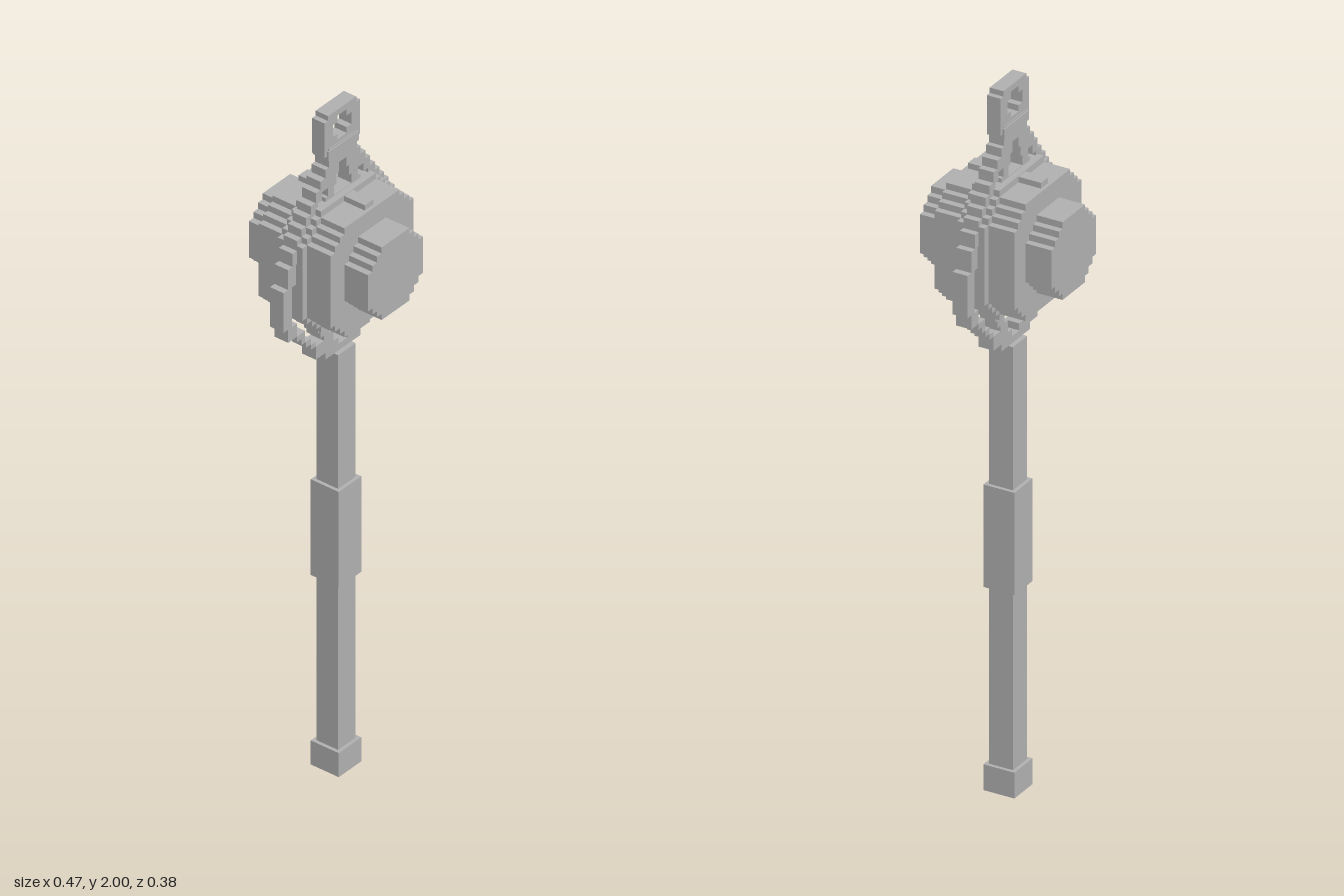
import * as THREE from 'three';

// Stepped outline: each row is [top y, left x, right x], stacked upward from y0
function outline(y0, rows, Kind = THREE.Shape) {
  const right = [], left = [];
  let y = y0;
  for (const [top, x0, x1] of rows) {
    right.push(new THREE.Vector2(x1, y), new THREE.Vector2(x1, top));
    left.push(new THREE.Vector2(x0, y), new THREE.Vector2(x0, top));
    y = top;
  }
  return new Kind([...right, ...left.reverse()]);
}

const both = (rows) => rows.map(([y, h]) => [y, -h, h]);
const mirror = (rows) => rows.map(([y, a, b]) => [y, -b, -a]);

// Blocky octagon: n corner steps cut from a square of half size r
function blockyDisc(r, n, cy, step = 0.0183) {
  const rows = [];
  for (let i = 0; i < n; i++) rows.push([cy - r + step * (i + 1), r - step * (n - i)]);
  rows.push([cy + r - step * n, r]);
  for (let i = 1; i <= n; i++) rows.push([cy + r - step * (n - i), r - step * i]);
  return outline(cy - r, both(rows));
}

export function createModel() {
  const model = new THREE.Group();
  const grey = new THREE.MeshStandardMaterial({ color: 0xb0b0b0 });
  grey.name = 'plain grey';

  function add(name, geometry) {
    const mesh = new THREE.Mesh(geometry, grey);
    mesh.name = name;
    model.add(mesh);
  }
  function slab(name, shape, depth) {
    const g = new THREE.ExtrudeGeometry(shape, { depth, bevelEnabled: false });
    add(name, g.translate(0, 0, -depth / 2));
  }
  function block(name, w, y0, y1, d) {
    add(name, new THREE.BoxGeometry(w, y1 - y0, d).translate(0, (y0 + y1) / 2, 0));
  }

  // Handle
  block('pommel', 0.09, 0, 0.073, 0.09);
  block('shaft', 0.07, 0.073, 1.27, 0.07);
  block('grip', 0.09, 0.575, 0.865, 0.09);

  // Teardrop frame with pierced openings
  const frame = outline(1.27, both([
    [1.29, 0.07], [1.33, 0.108], [1.347, 0.128], [1.365, 0.147], [1.383, 0.165],
    [1.4, 0.183], [1.44, 0.218], [1.56, 0.236], [1.62, 0.218], [1.66, 0.2],
    [1.69, 0.183], [1.715, 0.165], [1.74, 0.147], [1.765, 0.128], [1.795, 0.108],
    [1.82, 0.09], [1.845, 0.07], [1.9, 0.056],
  ]));
  const lowerSide = [
    [1.345, 0.075, 0.11], [1.365, 0.09, 0.128], [1.4, 0.1, 0.15],
    [1.44, 0.11, 0.183], [1.56, 0.11, 0.203], [1.62, 0.11, 0.187],
  ];
  const upperSide = [[1.76, 0.07, 0.1], [1.785, 0.06, 0.083]];
  frame.holes.push(
    outline(1.33, lowerSide, THREE.Path),
    outline(1.33, mirror(lowerSide), THREE.Path),
    outline(1.735, upperSide, THREE.Path),
    outline(1.735, mirror(upperSide), THREE.Path),
    outline(1.29, both([[1.31, 0.018], [1.345, 0.037], [1.4, 0.055]]), THREE.Path),
    outline(1.75, both([[1.78, 0.035], [1.81, 0.025], [1.84, 0.015]]), THREE.Path),
  );
  slab('frame', frame, 0.044);

  // Hanging loop with a cross-shaped eye, and its collar
  const loop = outline(1.88, both([[1.985, 0.07], [2, 0.056]]));
  loop.holes.push(outline(1.91, both([[1.927, 0.018], [1.963, 0.037], [1.982, 0.018]]), THREE.Path));
  slab('loop', loop, 0.04);
  block('loopCollar', 0.12, 1.868, 1.895, 0.05);

  // Round head: middle rim, drum and protruding striking faces
  slab('rim', blockyDisc(0.183, 4, 1.565), 0.08);
  slab('drum', blockyDisc(0.165, 3, 1.565), 0.231);
  slab('strikingFaces', blockyDisc(0.11, 3, 1.565), 0.382);
  block('topRib', 0.034, 1.71, 1.746, 0.212);

  return model;
}
